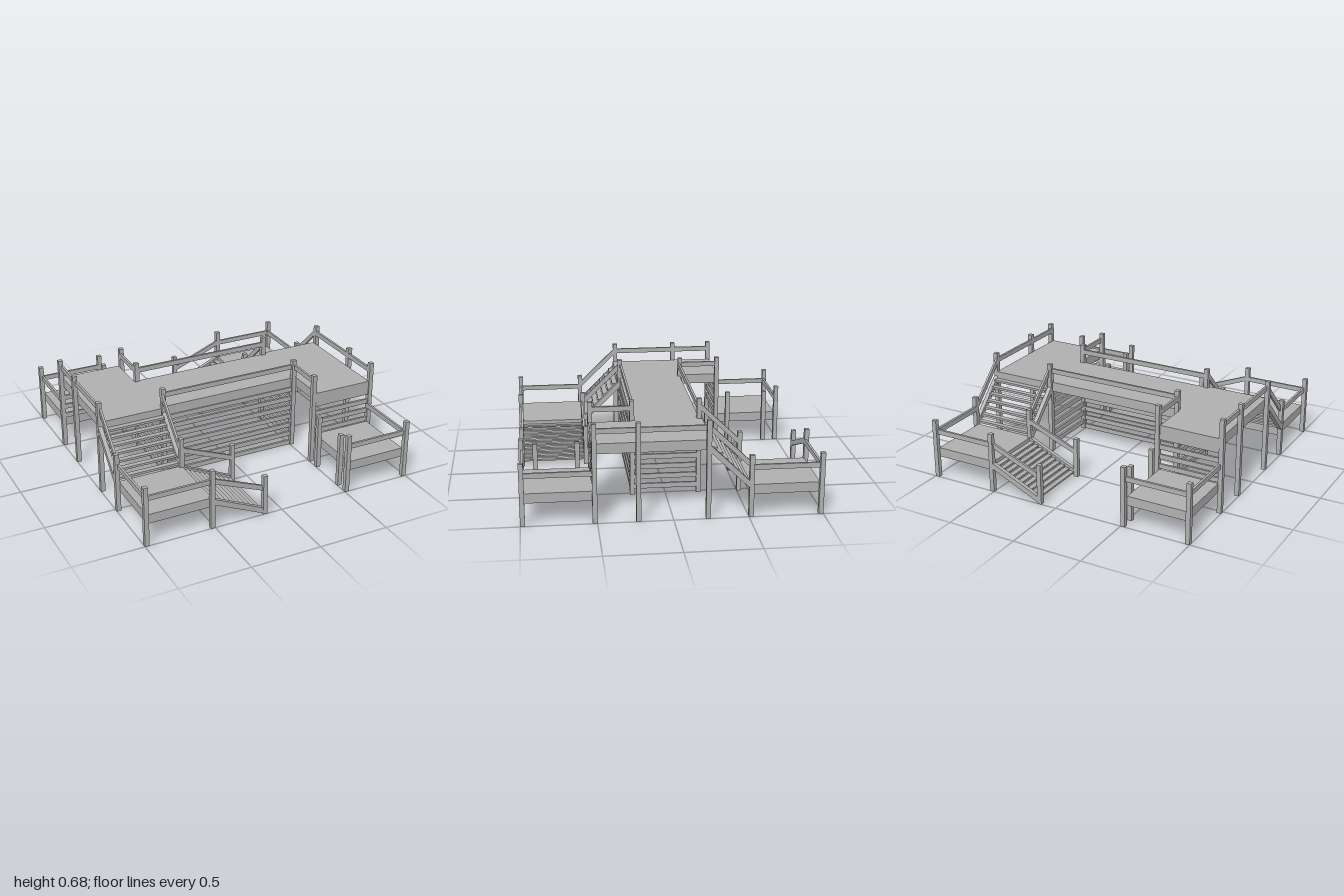
import * as THREE from 'three';

const grey = new THREE.MeshStandardMaterial({ color: 0xb0b0b0 });
grey.name = 'grey';

export function createModel() {
  const model = new THREE.Group();
  model.name = 'raisedWalkway';

  // Box given by its minimum and maximum corners
  function block(parent, name, x0, x1, y0, y1, z0, z1) {
    const mesh = new THREE.Mesh(new THREE.BoxGeometry(x1 - x0, y1 - y0, z1 - z0), grey);
    mesh.position.set((x0 + x1) / 2, (y0 + y1) / 2, (z0 + z1) / 2);
    mesh.name = name;
    parent.add(mesh);
  }

  function post(parent, x, z, h) {
    block(parent, 'post', x - 0.016, x + 0.016, 0, h, z - 0.016, z + 0.016);
  }

  // Beam running along x or z whose ends stay upright when it slopes
  function beam(parent, name, a, b, height = 0.035, thick = 0.016) {
    const alongX = Math.abs(b[0] - a[0]) > Math.abs(b[2] - a[2]);
    const k = alongX ? 0 : 2;
    const length = Math.abs(b[k] - a[k]);
    const slope = (b[1] - a[1]) / (b[k] - a[k]);
    const geo = new THREE.BoxGeometry(alongX ? length : thick, height, alongX ? thick : length);
    const p = geo.attributes.position;
    for (let i = 0; i < p.count; i++) {
      p.setY(i, p.getY(i) + slope * (alongX ? p.getX(i) : p.getZ(i)));
    }
    geo.computeVertexNormals();
    const mesh = new THREE.Mesh(geo, grey);
    mesh.position.set((a[0] + b[0]) / 2, (a[1] + b[1]) / 2, (a[2] + b[2]) / 2);
    mesh.name = name;
    parent.add(mesh);
  }

  const RAIL = 0.627, LOW_RAIL = 0.342;

  // Upper deck: one bridge and two offset wings
  block(model, 'bridgeDeck', -0.535, 0.535, 0.47, 0.54, -0.23, 0.23);
  block(model, 'leftWingDeck', 0.535, 0.972, 0.47, 0.54, -0.25, 0.525);
  block(model, 'rightWingDeck', -0.972, -0.535, 0.47, 0.54, -0.525, 0.25);

  // Long bars closing the front of the space below the bridge
  for (let i = 0; i < 7; i++) {
    const y = 0.452 - i * 0.0723;
    block(model, 'frontBar', -0.5, 0.5, y - 0.0175, y + 0.0175, 0.22, 0.237);
  }

  // Half of the structure, repeated by a half turn
  function half(name) {
    const g = new THREE.Group();
    g.name = name;

    // Tall posts and rails of the upper deck
    for (const x of [-0.985, -0.515, 0.515, 0.985]) post(g, x, 0.23, 0.68);
    for (const x of [0.515, 0.985]) post(g, x, 0.515, 0.68);
    beam(g, 'bridgeRail', [-0.5, RAIL, 0.222], [0.5, RAIL, 0.222]);
    beam(g, 'wingOuterRail', [0.977, RAIL, -0.215], [0.977, RAIL, 0.5]);
    beam(g, 'wingInnerRail', [0.523, RAIL, 0.245], [0.523, RAIL, 0.5]);

    // Side bars below the bridge
    for (let i = 0; i < 6; i++) {
      const y = 0.415 - i * 0.0714;
      block(g, 'sideBar', 0.507, 0.523, y - 0.0175, y + 0.0175, -0.215, 0.215);
    }

    // Climbing bars from the low platform up to the wing
    for (let i = 0; i < 4; i++) {
      const y = 0.452 - i * 0.0715;
      block(g, 'climbingBar', 0.53, 0.97, y - 0.0175, y + 0.0175, 0.507, 0.523);
    }

    // Low platform with a gateway
    block(g, 'climbPlatform', 0.535, 0.972, 0.15, 0.217, 0.525, 0.975);
    for (const x of [0.515, 0.985]) post(g, x, 0.985, 0.43);
    for (const z of [0.605, 0.89]) post(g, x0(), z, 0.395);
    beam(g, 'platformRail', [0.977, LOW_RAIL, 0.53], [0.977, LOW_RAIL, 0.97]);
    beam(g, 'platformRail', [0.53, LOW_RAIL, 0.977], [0.97, LOW_RAIL, 0.977]);

    // Stair landing
    block(g, 'landing', -0.972, -0.51, 0.15, 0.217, 0.51, 0.975);
    for (const x of [-0.985, -0.515]) {
      for (const z of [0.515, 0.985]) post(g, x, z, 0.43);
    }
    beam(g, 'landingRail', [-0.977, LOW_RAIL, 0.53], [-0.977, LOW_RAIL, 0.97]);
    beam(g, 'landingRail', [-0.97, LOW_RAIL, 0.977], [-0.53, LOW_RAIL, 0.977]);

    // Upper stair
    for (const x of [-0.985, -0.515]) {
      beam(g, 'upperStringer', [x, 0.485, 0.24], [x, 0.225, 0.505], 0.05, 0.03);
      const rx = x < -0.7 ? -0.977 : -0.523;
      beam(g, 'upperStairRail', [rx, 0.617, 0.245], [rx, 0.37, 0.5], 0.045);
    }
    for (let i = 0; i < 7; i++) {
      const y = 0.488 - i * 0.041, z = 0.25 + i * 0.0365;
      block(g, 'upperTread', -0.97, -0.53, y - 0.016, y, z, z + 0.038);
    }

    // Lower stair
    for (const z of [0.515, 0.985]) {
      post(g, -0.128, z, 0.29);
      beam(g, 'lowerStringer', [-0.5, 0.193, z], [-0.125, 0.022, z], 0.042, 0.03);
      const rz = z < 0.7 ? 0.523 : 0.977;
      beam(g, 'lowerStairRail', [-0.5, 0.34, rz], [-0.14, 0.195, rz], 0.038);
    }
    for (let i = 0; i < 10; i++) {
      const y = 0.192 - i * 0.0172, x = -0.508 + i * 0.0365;
      block(g, 'lowerTread', x, x + 0.036, y - 0.012, y, 0.53, 0.97);
    }
    return g;
  }

  function x0() { return 0.515; }

  const front = half('frontHalf');
  const back = half('backHalf');
  back.rotation.y = Math.PI;
  model.add(front, back);
  return model;
}
